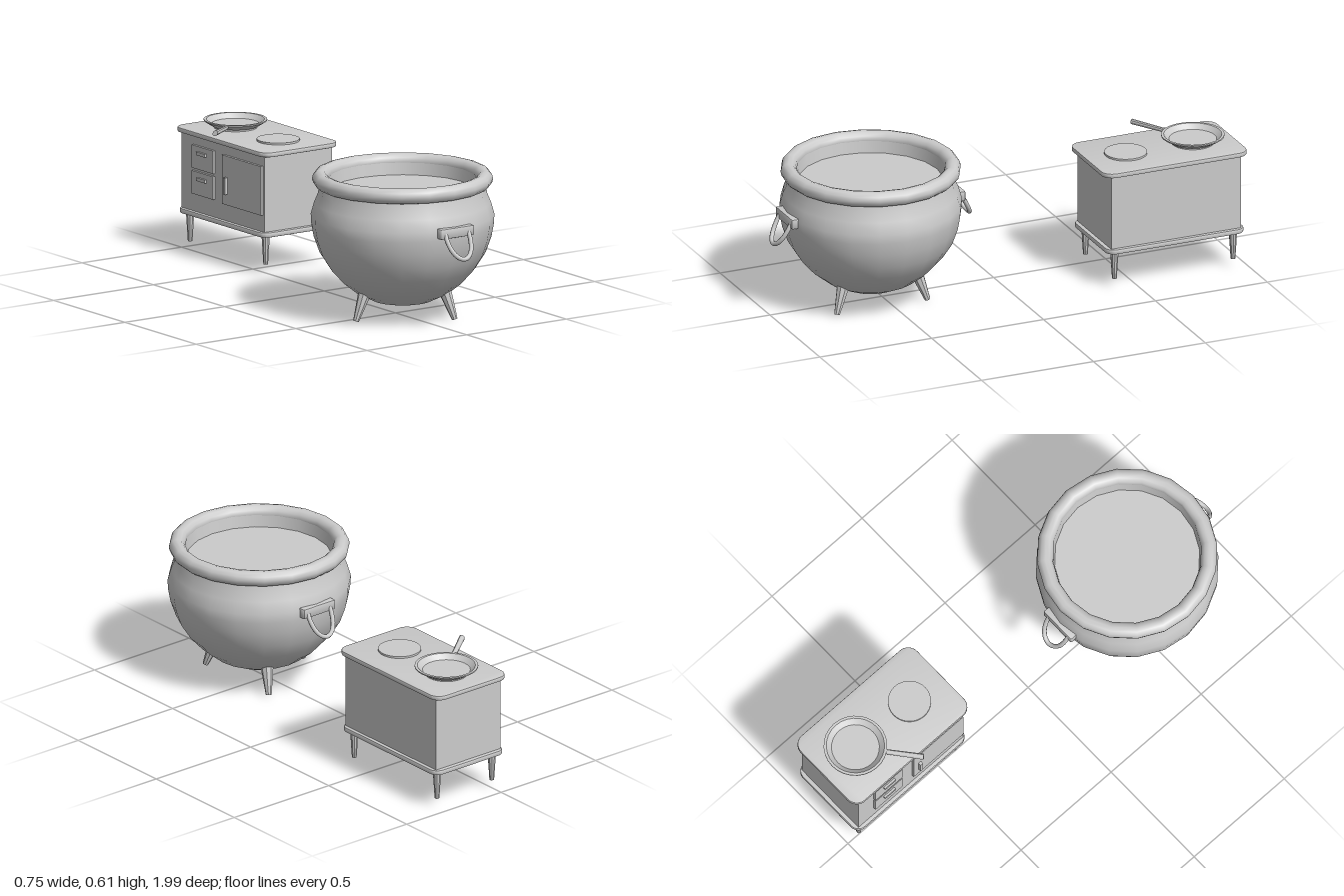
import * as THREE from 'three';
import { toCreasedNormals } from 'three/addons/utils/BufferGeometryUtils.js';

const grey = new THREE.MeshStandardMaterial({ color: 0xcccccc });
const greyDouble = new THREE.MeshStandardMaterial({ color: 0xcccccc, side: THREE.DoubleSide });
const V = (x, y, z) => new THREE.Vector3(x, y, z);

function add(parent, name, geometry, x = 0, y = 0, z = 0, material = grey) {
  const mesh = new THREE.Mesh(geometry, material);
  mesh.name = name;
  mesh.position.set(x, y, z);
  parent.add(mesh);
  return mesh;
}

function group(parent, name, x = 0, y = 0, z = 0) {
  const g = new THREE.Group();
  g.name = name;
  g.position.set(x, y, z);
  parent.add(g);
  return g;
}

const lathe = (points, segments) =>
  new THREE.LatheGeometry(points.map(([r, y]) => new THREE.Vector2(r, y)), segments);

// Tapered bar running from a (radius ra) to b (radius rb)
function taper(parent, name, a, b, ra, rb, sides) {
  const dir = b.clone().sub(a);
  const geo = toCreasedNormals(new THREE.CylinderGeometry(rb, ra, dir.length(), sides), 0.6);
  const mesh = add(parent, name, geo);
  mesh.position.copy(a).add(b).multiplyScalar(0.5);
  mesh.quaternion.setFromUnitVectors(V(0, 1, 0), dir.normalize());
  return mesh;
}

// Horizontal slab with rounded corners, its bottom at y = 0
function slab(w, d, h, r) {
  const x = w / 2, y = d / 2;
  const s = new THREE.Shape();
  s.moveTo(-x + r, -y);
  s.lineTo(x - r, -y);
  s.absarc(x - r, -y + r, r, -Math.PI / 2, 0);
  s.absarc(x - r, y - r, r, 0, Math.PI / 2);
  s.absarc(-x + r, y - r, r, Math.PI / 2, Math.PI);
  s.absarc(-x + r, -y + r, r, Math.PI, Math.PI * 1.5);
  const b = 0.004;
  const geo = new THREE.ExtrudeGeometry(s, {
    depth: h - 2 * b, bevelThickness: b, bevelSize: b, bevelOffset: -b, bevelSegments: 2, curveSegments: 6,
  });
  geo.translate(0, 0, b).rotateX(-Math.PI / 2);
  return toCreasedNormals(geo, 0.7);
}

function buildCauldron(root) {
  const pot = group(root, 'cauldron', 0, 0, 0.55);

  // Round belly with a narrowed neck
  add(pot, 'belly', lathe([
    [0, 0.05], [0.06, 0.053], [0.125, 0.068], [0.19, 0.099], [0.25, 0.147], [0.3, 0.202],
    [0.34, 0.265], [0.363, 0.33], [0.373, 0.385], [0.375, 0.425], [0.361, 0.475], [0.346, 0.51], [0.337, 0.56],
  ], 20), 0, 0, 0, greyDouble);
  add(pot, 'innerWall', lathe([[0.295, 0.5], [0.305, 0.572]], 20), 0, 0, 0, greyDouble);
  add(pot, 'liquid', new THREE.CircleGeometry(0.3, 20).rotateX(-Math.PI / 2), 0, 0.52, 0);
  add(pot, 'rim', new THREE.TorusGeometry(0.337, 0.033, 12, 20).rotateX(Math.PI / 2), 0, 0.572, 0);

  // Three splayed feet
  for (let i = 0; i < 3; i++) {
    const a = Math.PI + (i * Math.PI * 2) / 3;
    const at = (r, y) => V(r * Math.cos(a), y, r * Math.sin(a));
    taper(pot, 'cauldronFoot', at(0.234, 0.004), at(0.19, 0.118), 0.012, 0.027, 8);
  }

  // Plate and hanging loop at the front and back
  for (const turn of [0, Math.PI]) {
    const handle = group(pot, 'cauldronHandle');
    handle.rotation.y = turn;
    add(handle, 'handlePlate', slab(0.166, 0.04, 0.042, 0.006), 0, 0.395, 0.368);
    const curve = new THREE.CatmullRomCurve3([
      V(-0.057, 0.413, 0.38), V(-0.057, 0.385, 0.395), V(-0.046, 0.345, 0.417), V(-0.025, 0.321, 0.431),
      V(0, 0.313, 0.436),
      V(0.025, 0.321, 0.431), V(0.046, 0.345, 0.417), V(0.057, 0.385, 0.395), V(0.057, 0.413, 0.38),
    ]);
    add(handle, 'handleLoop', new THREE.TubeGeometry(curve, 24, 0.0095, 8), 0, 0, 0, greyDouble);
  }
}

function buildStove(root) {
  const stove = group(root, 'stove', 0.145, 0, -0.675);

  add(stove, 'cabinet', new THREE.BoxGeometry(0.34, 0.33, 0.58), 0, 0.335, 0);
  add(stove, 'worktop', slab(0.382, 0.646, 0.02, 0.05), 0, 0.495, 0);
  add(stove, 'basePlate', slab(0.37, 0.615, 0.021, 0.04), 0, 0.156, 0);
  for (const x of [-0.145, 0.145]) {
    for (const z of [-0.265, 0.265]) {
      taper(stove, 'stoveLeg', V(x, 0.037, z), V(x, 0.16, z), 0.01, 0.018, 10);
    }
  }

  // Doors with pulls on the -x side: [z centre, y centre, width, height]
  const face = -0.17;
  const door = (name, z, y, w, h) =>
    add(stove, name, new THREE.BoxGeometry(0.016, h, w), face - 0.003, y, z);
  door('ovenDoor', 0.145, 0.35, 0.275, 0.205);
  add(stove, 'ovenPull', new THREE.BoxGeometry(0.014, 0.07, 0.014), face - 0.017, 0.328, 0.04);
  for (const y of [0.3, 0.408]) {
    door('smallDoor', -0.13, y, 0.15, 0.096);
    add(stove, 'smallDoorPull', new THREE.BoxGeometry(0.01, 0.014, 0.06), face - 0.015, y + 0.02, -0.13);
  }

  // Two hot plates
  for (const z of [-0.15, 0.15]) {
    add(stove, 'hotPlate', new THREE.CylinderGeometry(0.088, 0.088, 0.01, 32), 0, 0.518, z);
  }

  // Frying pan with flared wall and slanted handle
  const pan = group(stove, 'fryingPan', 0, 0, -0.15);
  add(pan, 'panBowl', toCreasedNormals(lathe([
    [0, 0.523], [0.095, 0.523], [0.13, 0.545], [0.13, 0.55], [0.119, 0.55], [0.098, 0.53], [0, 0.53],
  ], 28), 0.5), 0, 0, 0, greyDouble);
  const grip = taper(pan, 'panHandle', V(-0.103, 0.54, 0.078), V(-0.225, 0.55, 0.172), 0.011, 0.013, 10);
  grip.scale.set(1, 1, 0.8);
}

export function createModel() {
  const root = new THREE.Group();
  root.name = 'cauldronAndStove';
  buildCauldron(root);
  buildStove(root);
  return root;
}
